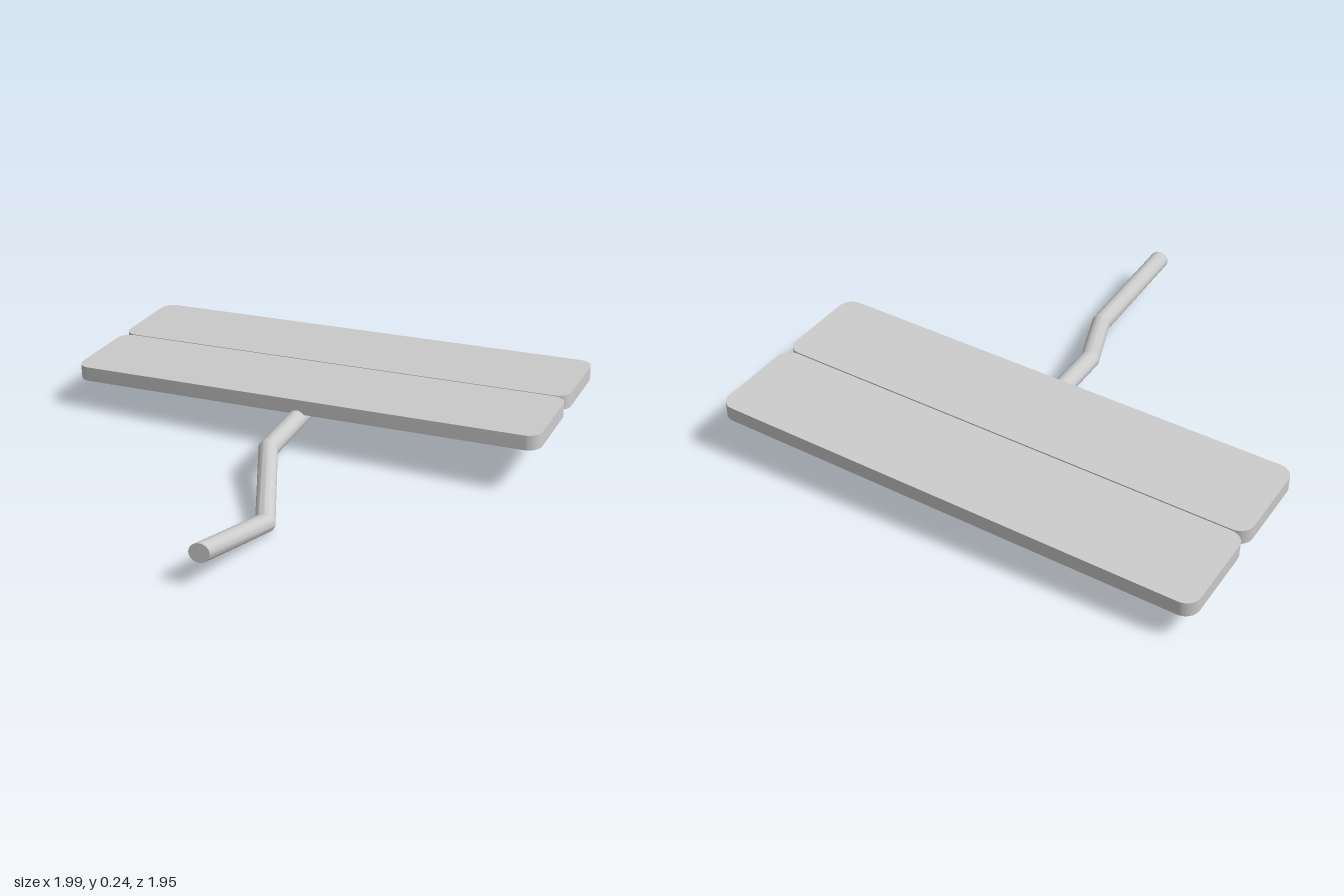
import * as THREE from 'three';
import { toCreasedNormals } from 'three/addons/utils/BufferGeometryUtils.js';

const material = new THREE.MeshStandardMaterial({ color: 0xcccccc });

function addMesh(parent, name, geometry) {
  const mesh = new THREE.Mesh(toCreasedNormals(geometry, 0.6), material);
  mesh.name = name;
  parent.add(mesh);
  return mesh;
}

// Flat slab with rounded corners, its top face at y = 0
function slabGeometry(length, width, thickness, r) {
  const x = length / 2, y = width / 2;
  const shape = new THREE.Shape();
  shape.moveTo(-x + r, -y);
  shape.absarc(x - r, -y + r, r, -Math.PI / 2, 0);
  shape.absarc(x - r, y - r, r, 0, Math.PI / 2);
  shape.absarc(-x + r, y - r, r, Math.PI / 2, Math.PI);
  shape.absarc(-x + r, -y + r, r, Math.PI, Math.PI * 1.5);
  return new THREE.ExtrudeGeometry(shape, { depth: thickness, bevelEnabled: false, curveSegments: 8 })
    .rotateX(-Math.PI / 2)
    .translate(0, -thickness, 0);
}

// Pipe section whose ends are both cut square to z, so sections meet cleanly
function pipeSection(a, b, radius) {
  const length = a.z - b.z;
  const g = new THREE.CylinderGeometry(radius, radius, length, 32).rotateX(Math.PI / 2);
  const p = g.attributes.position;
  for (let i = 0; i < p.count; i++) {
    const t = 0.5 - p.getZ(i) / length;
    p.setXYZ(i,
      p.getX(i) + THREE.MathUtils.lerp(a.x, b.x, t),
      p.getY(i) + THREE.MathUtils.lerp(a.y, b.y, t),
      THREE.MathUtils.lerp(a.z, b.z, t));
  }
  return g;
}

export function createModel() {
  const model = new THREE.Group();
  model.name = 'twoBoardPlatform';

  // Two boards side by side, turned and slightly tilted
  const boards = new THREE.Group();
  boards.name = 'boards';
  const up = new THREE.Vector3(0, 1, 0);
  const normal = new THREE.Vector3(-0.0283, 1, -0.025).normalize();
  boards.quaternion.setFromUnitVectors(up, normal)
    .multiply(new THREE.Quaternion().setFromAxisAngle(up, -THREE.MathUtils.degToRad(8.8)));
  boards.position.set(0, 0.208, -0.457);
  for (const [name, side] of [['frontBoard', 1], ['backBoard', -1]]) {
    addMesh(boards, name, slabGeometry(1.912, 0.383, 0.058, 0.055)).position.z = side * 0.194;
  }
  model.add(boards);

  // Bent pipe running out from under the boards
  const pipe = new THREE.Group();
  pipe.name = 'bentPipe';
  const path = [
    [-0.093, 0.136, 0.973],
    [0.012, 0.042, 0.565],
    [-0.083, 0.136, 0.195],
    [0.035, 0.136, -0.7],
  ].map((p) => new THREE.Vector3(...p));
  for (let i = 0; i < path.length - 1; i++) {
    addMesh(pipe, 'pipeSection' + (i + 1), pipeSection(path[i], path[i + 1], 0.037));
  }
  model.add(pipe);

  return model;
}
